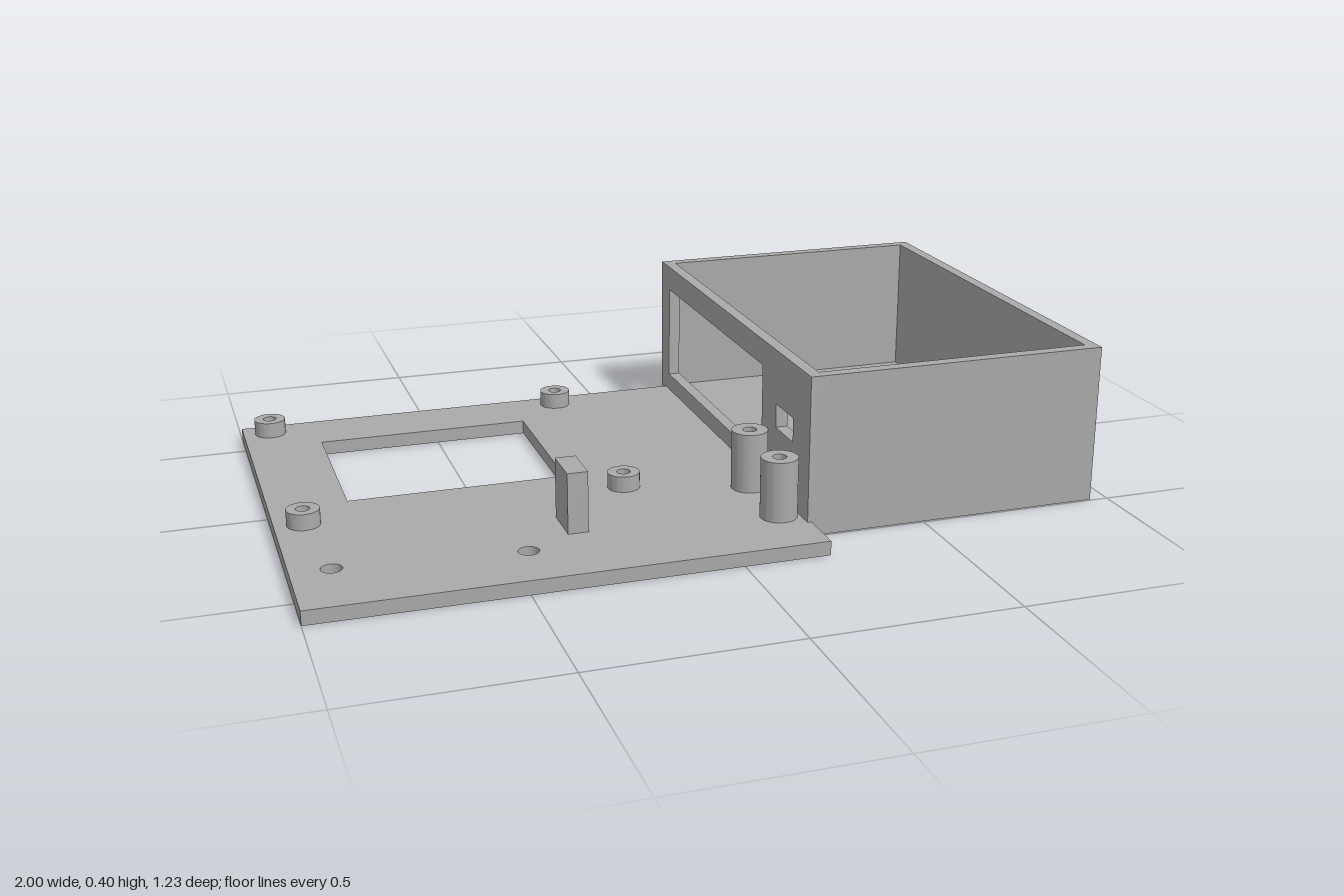
import * as THREE from 'three';
import { toCreasedNormals } from 'three/addons/utils/BufferGeometryUtils.js';

const grey = new THREE.MeshStandardMaterial({ color: 0xaaaaaa });
grey.name = 'plain grey';

// Closed outline from [u, v] corners
const poly = (pts) => new THREE.Shape(pts.map(([u, v]) => new THREE.Vector2(u, v)));
const rect = (u0, u1, v0, v1) => poly([[u0, v0], [u1, v0], [u1, v1], [u0, v1]]);
const circle = (u, v, r) => new THREE.Shape().absarc(u, v, r, 0, Math.PI * 2, false);

function extrude(outline, holes, depth) {
  outline.holes.push(...holes);
  const g = new THREE.ExtrudeGeometry(outline, { depth, bevelEnabled: false, curveSegments: 32 });
  return toCreasedNormals(g, 0.5);
}

// Horizontal slab, outline drawn in (x, -z), from y0 to y1
const slab = (outline, holes, y0, y1) =>
  extrude(outline, holes, y1 - y0).rotateX(-Math.PI / 2).translate(0, y0, 0);

// Upright panel, outline drawn in (-z, y), from x0 to x1
const panel = (outline, holes, x0, x1) =>
  extrude(outline, holes, x1 - x0).rotateY(Math.PI / 2).translate(x0, 0, 0);

const block = (x0, x1, y0, y1, z0, z1) =>
  new THREE.BoxGeometry(x1 - x0, y1 - y0, z1 - z0)
    .translate((x0 + x1) / 2, (y0 + y1) / 2, (z0 + z1) / 2);

export function createModel() {
  const model = new THREE.Group();
  model.name = 'electronicsTray';
  const add = (name, geometry) => {
    const mesh = new THREE.Mesh(geometry, grey);
    mesh.name = name;
    model.add(mesh);
  };

  const T = 0.035; // base thickness
  const H = 0.395; // box height
  const lowPosts = [[-0.93, -0.525], [-0.145, -0.525], [-0.93, 0.14], [-0.145, 0.14]];
  const tallPosts = [[0.15, 0.235], [0.15, 0.435]];
  const screwHoles = [[-0.905, 0.415], [-0.465, 0.455], [0.455, -0.155], [0.795, 0.08]];

  // Base: mounting plate and box floor in one piece
  add('basePlate', slab(
    poly([[-1, -0.615], [0.21, -0.615], [0.21, -0.495], [0.955, -0.495],
      [0.955, 0.615], [0.2, 0.615], [0.2, 0.58], [-1, 0.58]]),
    [
      rect(-0.81, -0.265, -0.025, 0.41),
      ...lowPosts.map(([x, z]) => circle(x, -z, 0.017)),
      ...screwHoles.map(([x, z]) => circle(x, -z, 0.025)),
    ], 0, T));

  // Three plain box walls
  add('boxWalls', slab(
    poly([[0.23, -0.495], [0.955, -0.495], [0.955, 0.615], [0.23, 0.615],
      [0.23, 0.585], [0.925, 0.585], [0.925, -0.465], [0.23, -0.465]]),
    [], T, H));

  // Inner wall with the large opening and a small cable slot
  add('windowWall', panel(
    rect(-0.495, 0.615, T, H),
    [rect(-0.185, 0.55, 0.08, 0.33), rect(-0.39, -0.28, 0.2, 0.26)], 0.2, 0.23));

  // Hollow posts
  for (const [x, z] of lowPosts)
    add('lowStandoff', slab(circle(x, -z, 0.04), [circle(x, -z, 0.017)], T, 0.075));
  for (const [x, z] of tallPosts)
    add('tallStandoff', slab(circle(x, -z, 0.045), [circle(x, -z, 0.017)], T, 0.185));

  add('supportBlock', block(-0.355, -0.305, T, 0.185, 0.28, 0.39));

  // Drilled strips and foot tab on the outer side
  for (const z of [0.2, -0.221])
    add('mountingStrip', panel(
      rect(-z - 0.048, -z + 0.048, 0, 0.32),
      [circle(-z, 0.05, 0.018), circle(-z, 0.267, 0.018)], 0.955, 0.988));
  add('footTab', block(0.955, 1, 0, T, 0.3, 0.41));

  return model;
}
